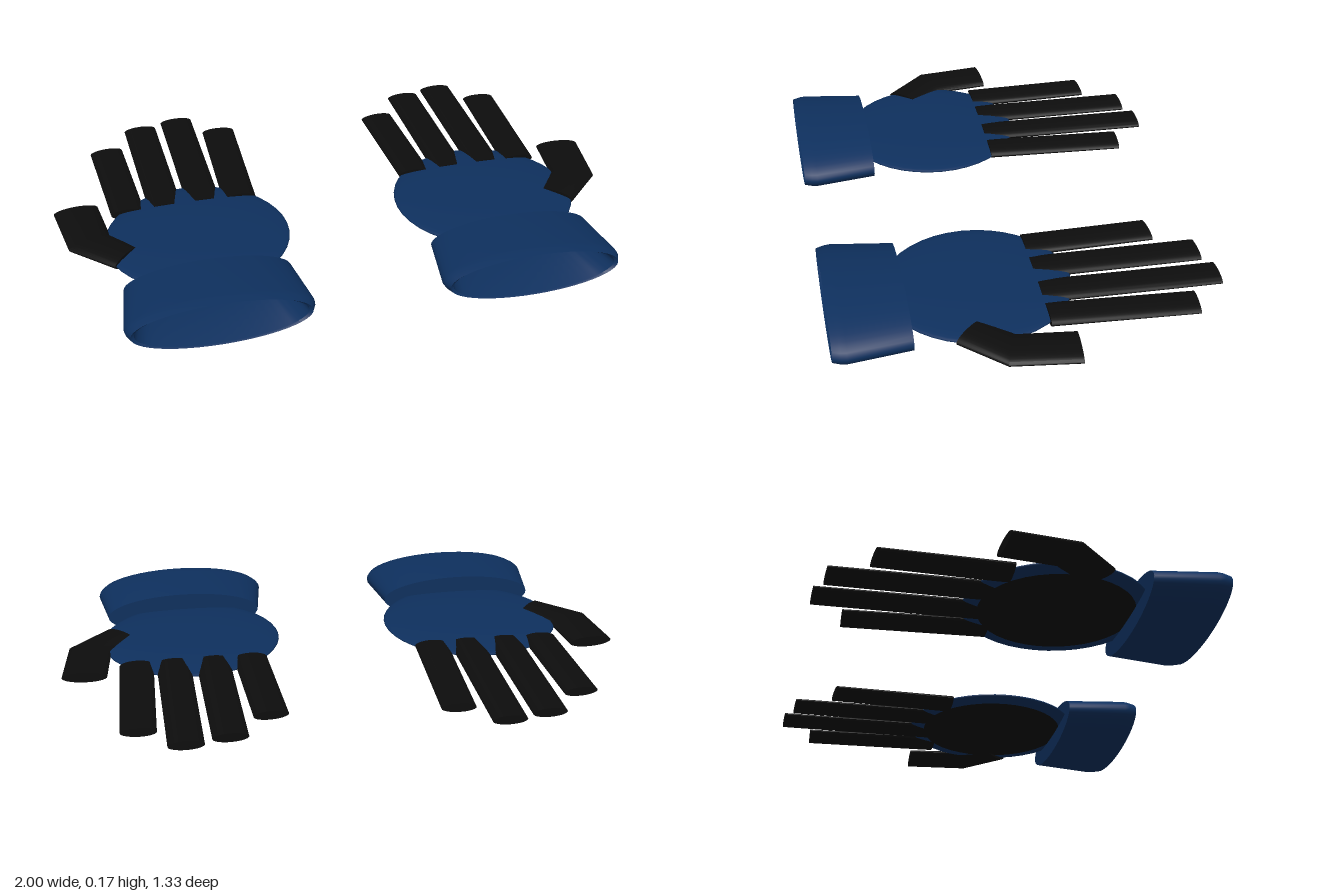
import * as THREE from 'three';
import { toCreasedNormals } from 'three/addons/utils/BufferGeometryUtils.js';

const blue = new THREE.MeshStandardMaterial({ color: 0x0e305e });
blue.name = 'navy blue';
const black = new THREE.MeshStandardMaterial({ color: 0x0d0d0d });
black.name = 'black';

// Capped loft through flat ellipses; each section is [ax, az, bx, bz, y, halfHeight]
// where a and b are the left and right edge points.
function loft(sections, sides = 28) {
  const pos = [], idx = [], row = sides + 1;
  for (const [ax, az, bx, bz, y, h] of sections) {
    for (let i = 0; i < sides; i++) {
      const t = (i / sides) * Math.PI * 2, c = Math.cos(t) / 2;
      pos.push((ax + bx) / 2 + (bx - ax) * c, y + h * Math.sin(t), (az + bz) / 2 + (bz - az) * c);
    }
    pos.push((ax + bx) / 2, y, (az + bz) / 2);
  }
  const last = (sections.length - 1) * row;
  for (let i = 0; i < sides; i++) {
    const j = (i + 1) % sides;
    for (let k = 0; k < last; k += row) {
      idx.push(k + i, k + row + i, k + j, k + j, k + row + i, k + row + j);
    }
    idx.push(sides, i, j, last + sides, last + j, last + i);
  }
  const g = new THREE.BufferGeometry();
  g.setAttribute('position', new THREE.Float32BufferAttribute(pos, 3));
  g.setIndex(idx);
  return toCreasedNormals(g, 0.6);
}

function add(group, name, geometry, material) {
  const mesh = new THREE.Mesh(geometry, material);
  mesh.name = name;
  group.add(mesh);
  return mesh;
}

// Squashed ball used for the back of the hand and the palm pad
function pad(rx, ry, rz) {
  return new THREE.SphereGeometry(1, 40, 24).scale(rx, ry, rz);
}

// Finger base x, tip x and tip z, measured from the glove centre
const FINGERS = [
  [-0.205, -0.225, -0.5],
  [-0.07, -0.076, -0.635],
  [0.07, 0.07, -0.665],
  [0.2, 0.217, -0.55],
];

function createGlove(side) {
  const glove = new THREE.Group();
  glove.name = side > 0 ? 'leftGlove' : 'rightGlove';
  const cx = side * 0.535;

  // Hand
  add(glove, 'handBack', pad(0.322, 0.022, 0.32), blue).position.set(side * 0.525, 0.088, 0.15);
  add(glove, 'palmPad', pad(0.29, 0.021, 0.29), black).position.set(side * 0.525, 0.084, 0.15);

  // Flared oval cuff, hollow at the wrist end
  const profile = [
    [0, 0.4], [0.285, 0.4], [0.315, 0.615], [0.312, 0.635], [0.3, 0.662],
    [0.288, 0.655], [0.24, 0.44], [0, 0.44],
  ].map(([r, y]) => new THREE.Vector2(r, y));
  const cuff = new THREE.LatheGeometry(profile, 48).rotateX(Math.PI / 2).scale(1, 0.27, 1);
  add(glove, 'cuff', toCreasedNormals(cuff, 0.6), blue).position.set(cx, 0.085, 0);

  // Fingers
  for (const [base, tip, z] of FINGERS) {
    const skew = (tip - base) * 0.2;
    add(glove, 'finger', loft([
      [cx + base - 0.06, -0.05, cx + base + 0.06, -0.05, 0.089, 0.019],
      [cx + tip - 0.06, z - skew, cx + tip + 0.06, z + skew, 0.084, 0.016],
    ]), black);
  }

  // Bent thumb on the outer side, mirrored by swapping its edges
  const thumb = [
    [0.73, 0.17, 0.83, 0.268, 0.088, 0.021],
    [0.82, 0.075, 0.97, 0.125, 0.088, 0.021],
    [0.84, -0.122, 0.998, -0.11, 0.088, 0.019],
  ].map(([ax, az, bx, bz, y, h]) => (side > 0 ? [ax, az, bx, bz, y, h] : [-bx, bz, -ax, az, y, h]));
  add(glove, 'thumb', loft(thumb), black);
  return glove;
}

export function createModel() {
  const model = new THREE.Group();
  model.name = 'gloves';
  for (const side of [-1, 1]) model.add(createGlove(side));
  return model;
}
